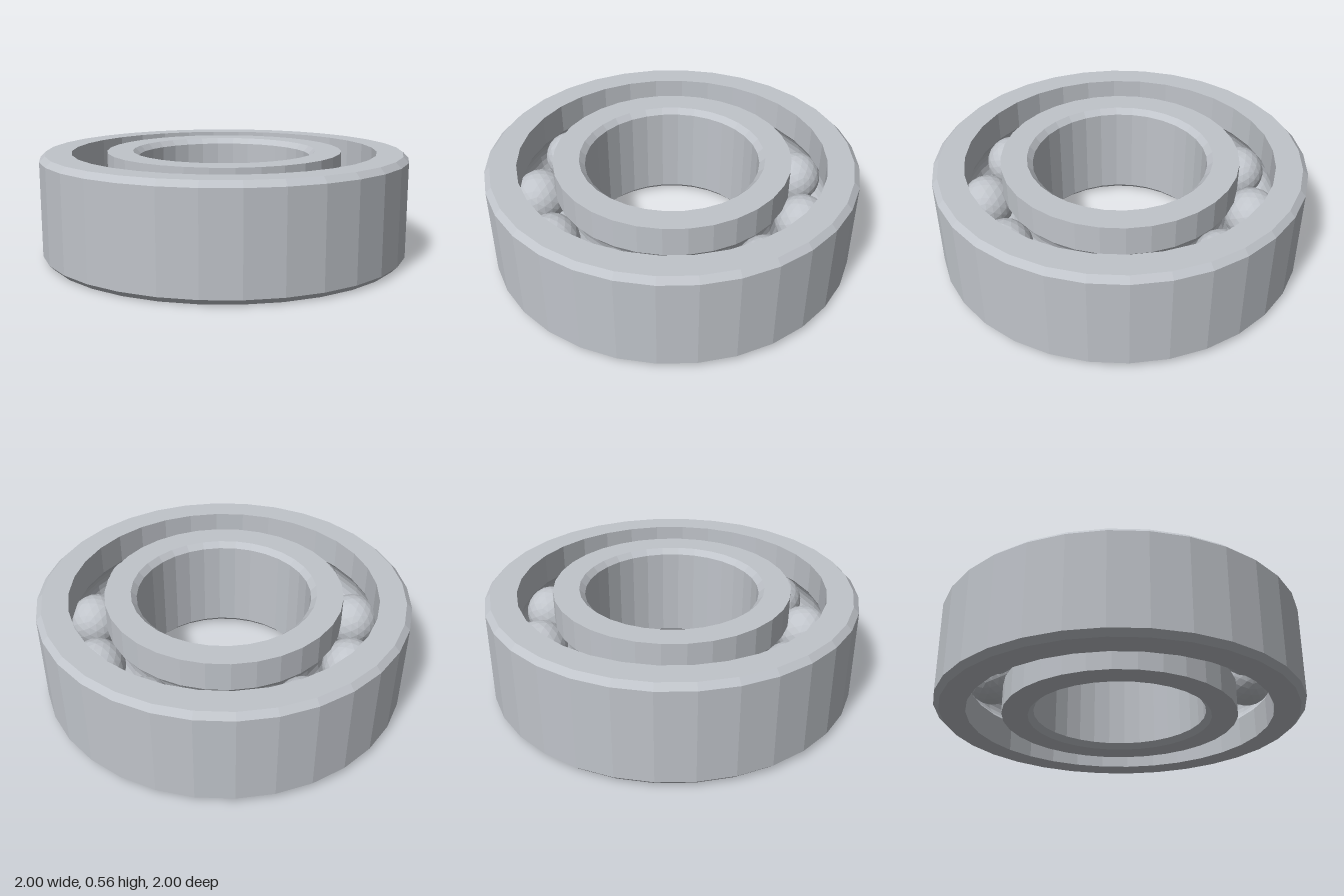
import * as THREE from 'three';

const HEIGHT = 0.565, MID = HEIGHT / 2, CHAMFER = 0.03, SIDES = 32;
const BALLS = 11, BALL_RADIUS = 0.146, PITCH = 0.73, GROOVE = 0.15;

// Groove arc for a wall at radius r; dir = 1 runs upward, -1 downward.
function grooveArc(r, dir) {
  const side = Math.sign(r - PITCH);
  const half = Math.acos(Math.abs(r - PITCH) / GROOVE);
  const points = [];
  for (let i = 0; i <= 8; i++) {
    const a = dir * half * (i / 4 - 1);
    points.push([PITCH + side * GROOVE * Math.cos(a), MID + GROOVE * Math.sin(a)]);
  }
  return points;
}

function ring(name, profile, material) {
  const points = [...profile, profile[0]].map(([r, y]) => new THREE.Vector2(r, y));
  const mesh = new THREE.Mesh(new THREE.LatheGeometry(points, SIDES), material);
  mesh.name = name;
  return mesh;
}

export function createModel() {
  const group = new THREE.Group();
  group.name = 'ballBearing';
  const steel = new THREE.MeshStandardMaterial({ color: 0xc0c4ca, flatShading: true });
  steel.name = 'steel';

  // Outer race: chamfered outside, ball groove inside
  group.add(ring('outerRace', [
    [1 - CHAMFER, 0], [1, CHAMFER], [1, HEIGHT - CHAMFER], [1 - CHAMFER, HEIGHT],
    [0.83, HEIGHT], ...grooveArc(0.83, -1), [0.83, 0],
  ], steel));

  // Inner race: ball groove outside, chamfered bore
  group.add(ring('innerRace', [
    [0.64, 0], ...grooveArc(0.64, 1), [0.64, HEIGHT],
    [0.5, HEIGHT], [0.47, HEIGHT - CHAMFER], [0.47, CHAMFER], [0.5, 0],
  ], steel));

  // Balls running between the races
  const ballGeometry = new THREE.IcosahedronGeometry(BALL_RADIUS, 3);
  for (let i = 0; i < BALLS; i++) {
    const a = (i / BALLS) * Math.PI * 2;
    const ball = new THREE.Mesh(ballGeometry, steel);
    ball.name = `ball${i + 1}`;
    ball.position.set(PITCH * Math.cos(a), MID, PITCH * Math.sin(a));
    ball.rotation.y = -a;
    group.add(ball);
  }
  return group;
}
